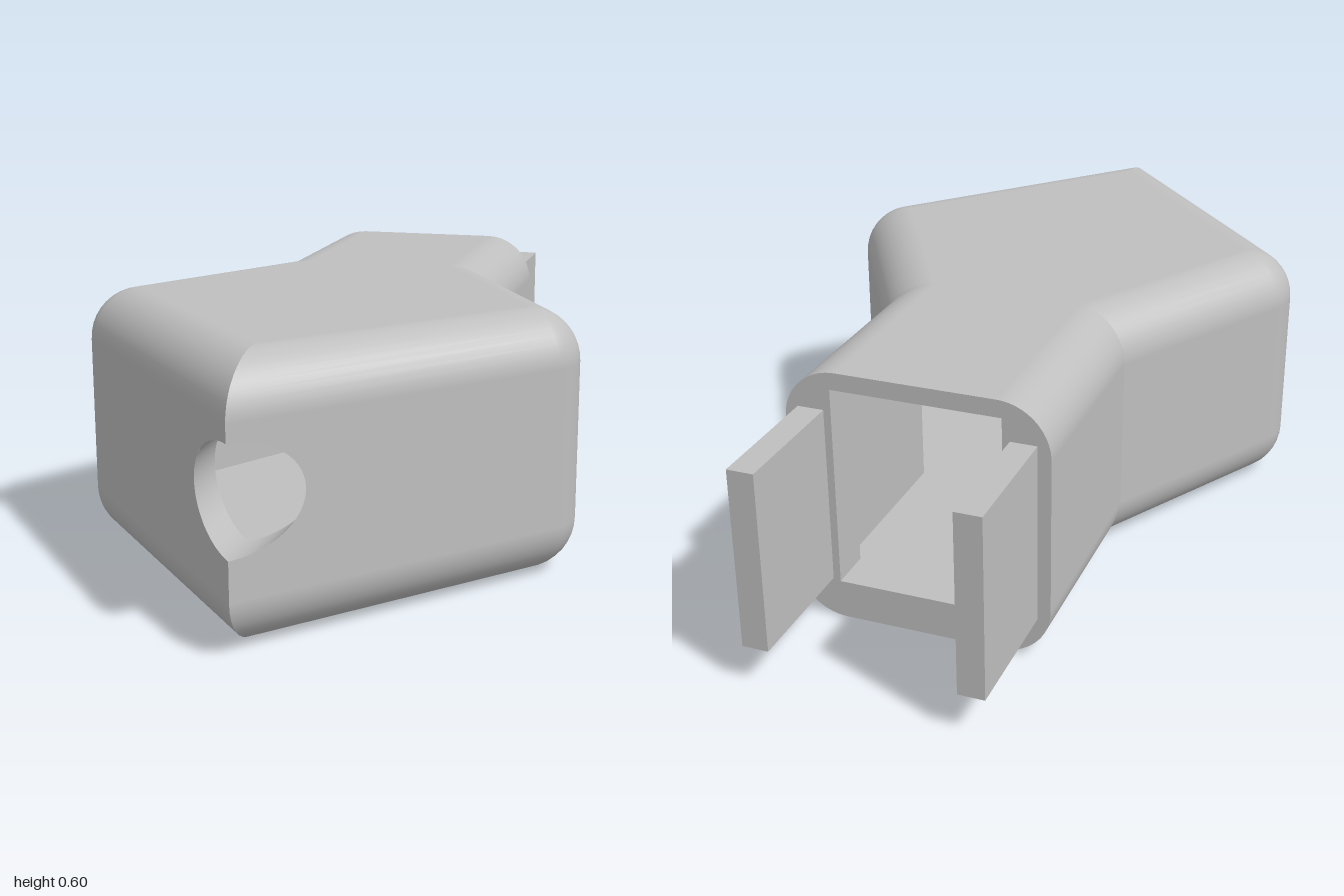
import * as THREE from 'three';
import { mergeGeometries } from 'three/addons/utils/BufferGeometryUtils.js';

const R = 0.12;                       // fillet radius of all body edges
const H = 0.6;                        // body height
const BACK = -0.7, LIP = -0.6;        // rear face, inner end of the rear lip
const SIDE = -Math.PI / 6;            // plan angle of the flared side's normal
const NOSE = 0.727;                   // plan angle of the nose side's normal
const SLOPE = Math.tan(NOSE);         // nose: z = 1 - x / tan(normal) inverse
const HOLE_Y = 0.325, HOLE_R = 0.117; // cable hole
const WALL = 0.08, FLOOR = 0.09, CEIL = 0.56, MOUTH = 0.193;
const ARC = 10;

// Half plan outline (+x side, back to nose), inset by d: [x, z]
function outline(d, back) {
  const pts = [[0.3 - d, back], [0.3 - d, -0.2 + d * Math.tan(Math.PI / 12)]];
  for (let i = 0; i <= ARC; i++) {
    const a = SIDE + (NOSE - SIDE) * i / ARC;
    pts.push([0.455 + (R - d) * Math.cos(a), 0.309 + (R - d) * Math.sin(a)]);
  }
  pts.push([0, noseZ(0, d)]);
  return pts;
}

// z of the nose side plane at x, inset by d
function noseZ(x, d) {
  const c = Math.cos(NOSE), s = Math.sin(NOSE);
  return (0.455 * c + 0.309 * s + R - d - x * c) / s;
}

// Normal angles at both ends of outline segment i
function segAngles(i) {
  if (i === 0) return [0, 0];
  if (i === 1) return [SIDE, SIDE];
  if (i === ARC + 2) return [NOSE, NOSE];
  return [i - 2, i - 1].map(k => SIDE + (NOSE - SIDE) * k / ARC);
}

// Make every triangle wind to agree with its normals
function orient(geo) {
  const p = geo.attributes.position, n = geo.attributes.normal, idx = geo.index;
  const v = k => new THREE.Vector3().fromBufferAttribute(p, k);
  for (let i = 0; i < idx.count; i += 3) {
    const [a, b, c] = [0, 1, 2].map(k => idx.getX(i + k));
    const face = v(b).sub(v(a)).cross(v(c).sub(v(a)));
    const sum = new THREE.Vector3();
    [a, b, c].forEach(k => sum.add(new THREE.Vector3().fromBufferAttribute(n, k)));
    if (face.dot(sum) < 0) { idx.setX(i + 1, c); idx.setX(i + 2, b); }
  }
  return geo;
}

// Surface through rows of [position, normal]
function skin(rows) {
  const w = rows[0].length, pos = [], nor = [], idx = [];
  rows.forEach(r => r.forEach(([p, n]) => { pos.push(...p); nor.push(...n); }));
  for (let j = 0; j < rows.length - 1; j++) for (let i = 0; i < w - 1; i++) {
    const a = j * w + i;
    idx.push(a, a + w, a + 1, a + 1, a + w, a + w + 1);
  }
  const g = new THREE.BufferGeometry();
  g.setAttribute('position', new THREE.Float32BufferAttribute(pos, 3));
  g.setAttribute('normal', new THREE.Float32BufferAttribute(nor, 3));
  g.setIndex(idx);
  return orient(g);
}

// Flat shape moved onto a plane by map(x, y), with one constant normal
function plane(shape, map, normal) {
  const g = new THREE.ShapeGeometry(shape, 32), p = g.attributes.position;
  g.deleteAttribute('uv');
  for (let i = 0; i < p.count; i++) {
    p.setXYZ(i, ...map(p.getX(i), p.getY(i)));
    g.attributes.normal.setXYZ(i, ...normal);
  }
  return orient(g);
}
const polygon = pts => new THREE.Shape(pts.map(p => new THREE.Vector2(...p)));

// Join half surfaces with their mirror images
function mirrored(parts) {
  const half = mergeGeometries(parts), other = half.clone();
  for (const key of ['position', 'normal']) {
    const a = other.attributes[key];
    for (let i = 0; i < a.count; i++) a.setX(i, -a.getX(i));
  }
  return mergeGeometries([half, orient(other)]);
}

// Nose panel with half of the cable hole cut out
function nosePanel(d, xe, y0, y1, sign) {
  const s = new THREE.Shape();
  s.moveTo(0, y0); s.lineTo(xe, y0); s.lineTo(xe, y1); s.lineTo(0, y1);
  s.lineTo(0, HOLE_Y + HOLE_R);
  s.absarc(0, HOLE_Y, HOLE_R, Math.PI / 2, -Math.PI / 2, true);
  return plane(s, (x, y) => [x, y, noseZ(x, d)], [sign * Math.cos(NOSE), 0, sign * Math.sin(NOSE)]);
}

function shellGeometry() {
  const parts = [], low = [], high = [];
  for (let i = 0; i <= 10; i++) {
    const t = i / 10 * Math.PI / 2;
    high.push({ t, y: H - R + R * Math.sin(t) });
    low.unshift({ t: -t, y: R - R * Math.sin(t) });
  }
  // Filleted sides; the nose band is left open for its holed panel
  const last = ARC + 2;
  for (let i = 0; i <= last; i++) {
    const ang = segAngles(i);
    const rows = levels => levels.map(({ t, y }) => {
      const o = outline(R * (1 - Math.cos(t)), BACK);
      return [0, 1].map(k => [[o[i + k][0], y, o[i + k][1]],
        [Math.cos(t) * Math.cos(ang[k]), Math.sin(t), Math.cos(t) * Math.sin(ang[k])]]);
    });
    if (i < last) parts.push(skin(rows([...low, ...high])));
    else parts.push(skin(rows(low)), skin(rows(high)));
  }
  parts.push(nosePanel(0, outline(0, BACK)[last][0], R, H - R, 1));
  // Flat top and bottom
  const cap = polygon([[0, BACK], ...outline(R, BACK).filter((p, i) => i < 3 || i > last)]);
  parts.push(plane(cap, (x, z) => [x, H, z], [0, 1, 0]));
  parts.push(plane(cap, (x, z) => [x, 0, z], [0, -1, 0]));
  return mirrored(parts);
}

function cavityGeometry() {
  const parts = [], o = outline(WALL, LIP), last = ARC + 2;
  const wall = (a, b, na, nb) => parts.push(skin([FLOOR, CEIL].map(y =>
    [[[a[0], y, a[1]], na], [[b[0], y, b[1]], nb]])));
  // Rear lip, then the inner side walls
  wall([MOUTH, BACK], [MOUTH, LIP], [-1, 0, 0], [-1, 0, 0]);
  wall([MOUTH, LIP], o[0], [0, 0, 1], [0, 0, 1]);
  for (let i = 0; i < last; i++) {
    const n = segAngles(i).map(a => [-Math.cos(a), 0, -Math.sin(a)]);
    wall(o[i], o[i + 1], n[0], n[1]);
  }
  parts.push(nosePanel(WALL, o[last][0], FLOOR, CEIL, -1));
  // Floor and ceiling
  const flat = polygon([[0, BACK], [MOUTH, BACK], [MOUTH, LIP], ...o]);
  parts.push(plane(flat, (x, z) => [x, FLOOR, z], [0, 1, 0]));
  parts.push(plane(flat, (x, z) => [x, CEIL, z], [0, -1, 0]));
  return mirrored(parts);
}

function holeGeometry() {
  const rows = [];
  for (let i = 0; i <= 32; i++) {
    const a = Math.PI * (0.5 - i / 32), c = Math.cos(a), s = Math.sin(a), x = HOLE_R * c;
    rows.push([0, WALL].map(d => [[x, HOLE_Y + HOLE_R * s, noseZ(x, d)], [-c, -s, 0]]));
  }
  return mirrored([skin(rows)]);
}

// Rear face: rounded rectangle around the rectangular mouth
function rimGeometry() {
  const s = new THREE.Shape(), w = 0.3;
  s.moveTo(-w + R, 0);
  s.absarc(w - R, R, R, -Math.PI / 2, 0, false);
  s.absarc(w - R, H - R, R, 0, Math.PI / 2, false);
  s.absarc(-w + R, H - R, R, Math.PI / 2, Math.PI, false);
  s.absarc(-w + R, R, R, Math.PI, Math.PI * 1.5, false);
  s.holes.push(new THREE.Path([[-MOUTH, FLOOR], [-MOUTH, CEIL], [MOUTH, CEIL], [MOUTH, FLOOR]]
    .map(p => new THREE.Vector2(...p))));
  return plane(s, (x, y) => [x, y, BACK], [0, 0, -1]);
}

export function createModel() {
  const model = new THREE.Group();
  model.name = 'plugHousing';
  const grey = new THREE.MeshStandardMaterial({ color: 0xbfbfbf });
  grey.name = 'light grey plastic';
  const add = (name, geo) => {
    const m = new THREE.Mesh(geo, grey);
    m.name = name;
    model.add(m);
    return m;
  };
  add('outerShell', shellGeometry());
  add('innerCavity', cavityGeometry());
  add('cableHole', holeGeometry());
  add('rearRim', rimGeometry());
  // Flat prongs behind the rear face
  for (const s of [-1, 1]) {
    add(s > 0 ? 'leftProng' : 'rightProng', new THREE.BoxGeometry(0.06, 0.415, 0.3))
      .position.set(s * 0.24, 0.3025, -0.85);
  }
  return model;
}
